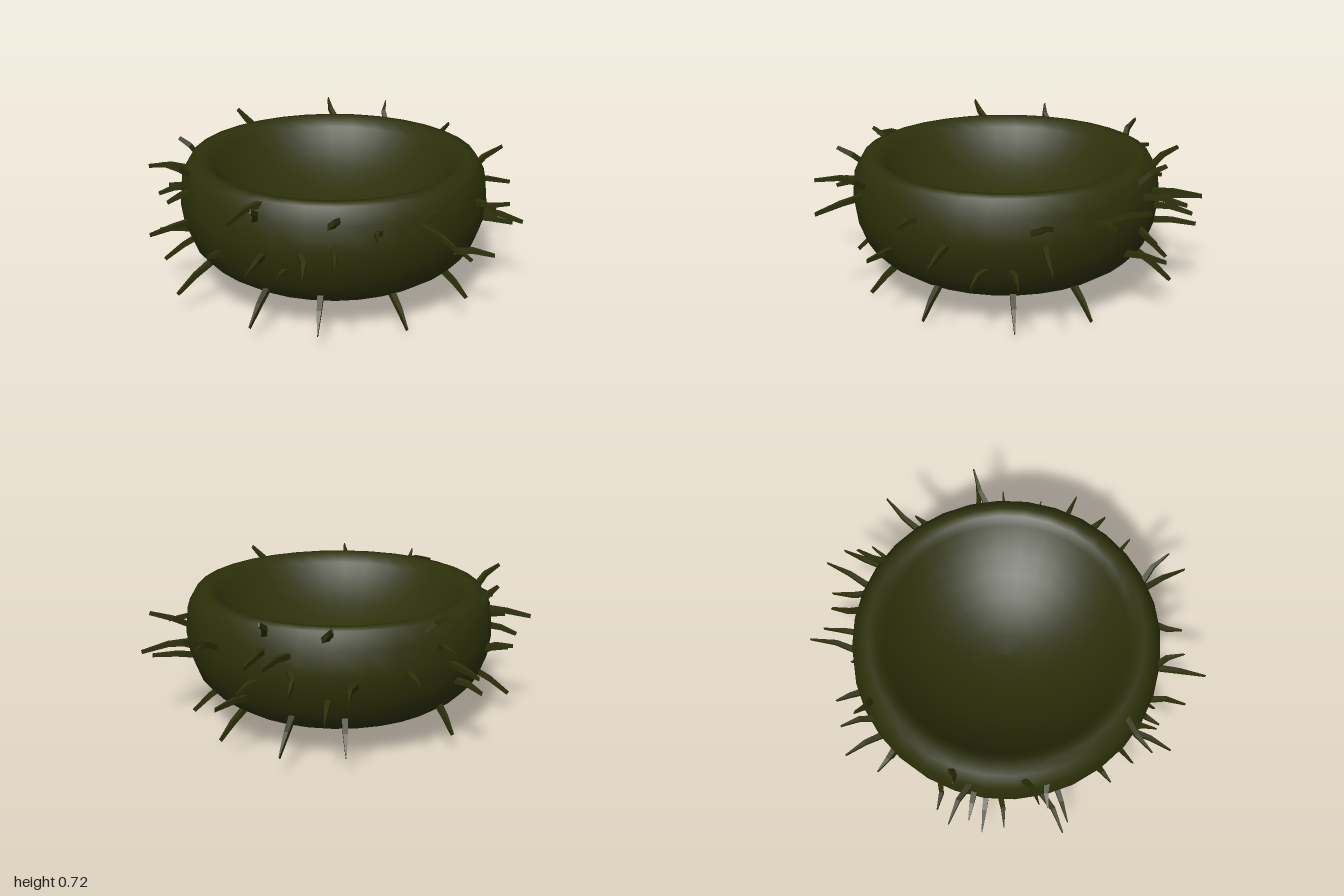
import * as THREE from 'three';

const material = new THREE.MeshStandardMaterial({ color: 0x2d300a, roughness: 1 });
const strawMaterial = new THREE.MeshStandardMaterial({ color: 0x2d300a, roughness: 1, flatShading: true });

// Outer wall from the flat base up to the rim: [radius, height]
const outer = [
  [0, 0.06], [0.3, 0.062], [0.44, 0.08], [0.57, 0.132], [0.65, 0.185], [0.71, 0.25],
  [0.752, 0.36], [0.767, 0.46], [0.755, 0.585], [0.712, 0.66],
];
// Flat rim and shallow bowl
const inner = [
  [0.67, 0.667], [0.63, 0.66], [0.595, 0.622], [0.55, 0.572], [0.48, 0.51],
  [0.4, 0.455], [0.3, 0.405], [0.2, 0.37], [0.1, 0.35], [0, 0.345],
];

// Straw tips by row: [x, z, y]
const upperTips = [
  [-0.63, -0.53, 0.71], [-0.18, -0.83, 0.71], [0.15, -0.83, 0.71], [0.66, 0.62, 0.67],
  [0.18, 0.84, 0.66], [-0.22, 0.82, 0.66], [-0.79, 0.02, 0.71], [-0.75, 0.42, 0.71],
  [0.82, -0.47, 0.6], [0.51, -0.83, 0.6],
];
const middleTips = [
  [-0.28, -0.95, 0.43], [-0.17, -0.94, 0.32], [-0.01, -0.94, 0.43], [0.09, -0.99, 0.56],
  [0.19, -0.94, 0.54], [0.27, -0.82, 0.36], [0.35, -0.88, 0.31], [0.51, -0.68, 0.5],
  [0.87, -0.48, 0.4], [0.88, -0.33, 0.33], [0.9, -0.12, 0.31], [0.95, 0.06, 0.39],
  [0.83, 0.4, 0.35], [0.82, 0.25, 0.52], [0.69, 0.72, 0.49], [0.34, 0.8, 0.55],
  [0.18, 0.98, 0.47], [0.03, 0.93, 0.4], [-0.1, 0.84, 0.36], [-0.22, 0.93, 0.4],
  [-0.32, 0.84, 0.6], [-0.46, 0.7, 0.37], [-0.78, 0.56, 0.4], [-0.72, 0.46, 0.53],
  [-0.83, 0.28, 0.31], [-0.95, 0.05, 0.56], [-0.88, 0.12, 0.44], [-0.88, -0.04, 0.43],
  [-0.78, -0.55, 0.44], [-0.78, -0.4, 0.31], [-0.68, -0.6, 0.56], [-0.54, -0.7, 0.44],
];
const lowerTips = [
  [0.45, 0.56, 0.01], [0.7, 0.19, 0.02], [0.07, 0.8, 0.07], [-0.25, 0.78, 0.07],
  [-0.66, 0.56, 0.1], [0.7, -0.26, 0.02], [0.45, -0.56, 0.01], [-0.23, -0.79, 0.1],
  [-0.65, -0.4, 0.09], [-0.85, 0.17, 0.1], [0.06, -0.86, 0.1],
];

// Radius of the outer wall at a height
function wallRadius(y) {
  const k = outer.findIndex((p) => p[1] >= y);
  const [r0, y0] = outer[k - 1], [r1, y1] = outer[k];
  return r0 + (r1 - r0) * (y - y0) / (y1 - y0);
}

// Thin bent blade running from the wall to its tip
function straw([x, z, y], baseY, skew) {
  const tip = new THREE.Vector3(x, y, z);
  const angle = Math.atan2(z, x) + skew;
  const r = wallRadius(baseY) - 0.03;
  const base = new THREE.Vector3(Math.cos(angle) * r, baseY, Math.sin(angle) * r);
  const dir = tip.clone().sub(base).normalize();
  const side = new THREE.Vector3(0, 1, 0).cross(dir).normalize();
  const up = dir.clone().cross(side);
  const mid = base.clone().lerp(tip, 0.5).addScaledVector(side, skew * 0.2);
  mid.y += 0.01;
  const path = [base, mid, tip];
  const widths = [0.03, 0.022, 0.004], heights = [0.026, 0.025, 0.02];

  const geometry = new THREE.BoxGeometry(1, 1, 1, 1, 1, 2);
  const pos = geometry.attributes.position;
  for (let k = 0; k < pos.count; k++) {
    const s = Math.round((pos.getZ(k) + 0.5) * 2);
    const p = path[s].clone()
      .addScaledVector(side, pos.getX(k) * widths[s])
      .addScaledVector(up, pos.getY(k) * heights[s]);
    pos.setXYZ(k, p.x, Math.max(p.y, 0), p.z);
  }
  geometry.computeVertexNormals();
  const mesh = new THREE.Mesh(geometry, strawMaterial);
  mesh.name = 'straw';
  return mesh;
}

export function createModel() {
  const group = new THREE.Group();
  group.name = 'nest';

  // Round hollow body
  const profile = [...outer, ...inner].map(([r, y]) => new THREE.Vector2(r, y));
  const body = new THREE.Mesh(new THREE.LatheGeometry(profile, 32), material);
  body.name = 'nestBody';
  group.add(body);

  // Loose straws: rising, level and drooping rows
  const straws = new THREE.Group();
  straws.name = 'straws';
  upperTips.forEach((t) => straws.add(straw(t, t[2] - 0.1, 0.07)));
  middleTips.forEach((t, i) =>
    straws.add(straw(t, t[2] + 0.03 * ((i % 3) - 0.5), ((i * 7) % 5 - 2) * 0.035)));
  lowerTips.forEach((t) => straws.add(straw(t, t[2] + 0.14, 0)));
  group.add(straws);
  return group;
}
